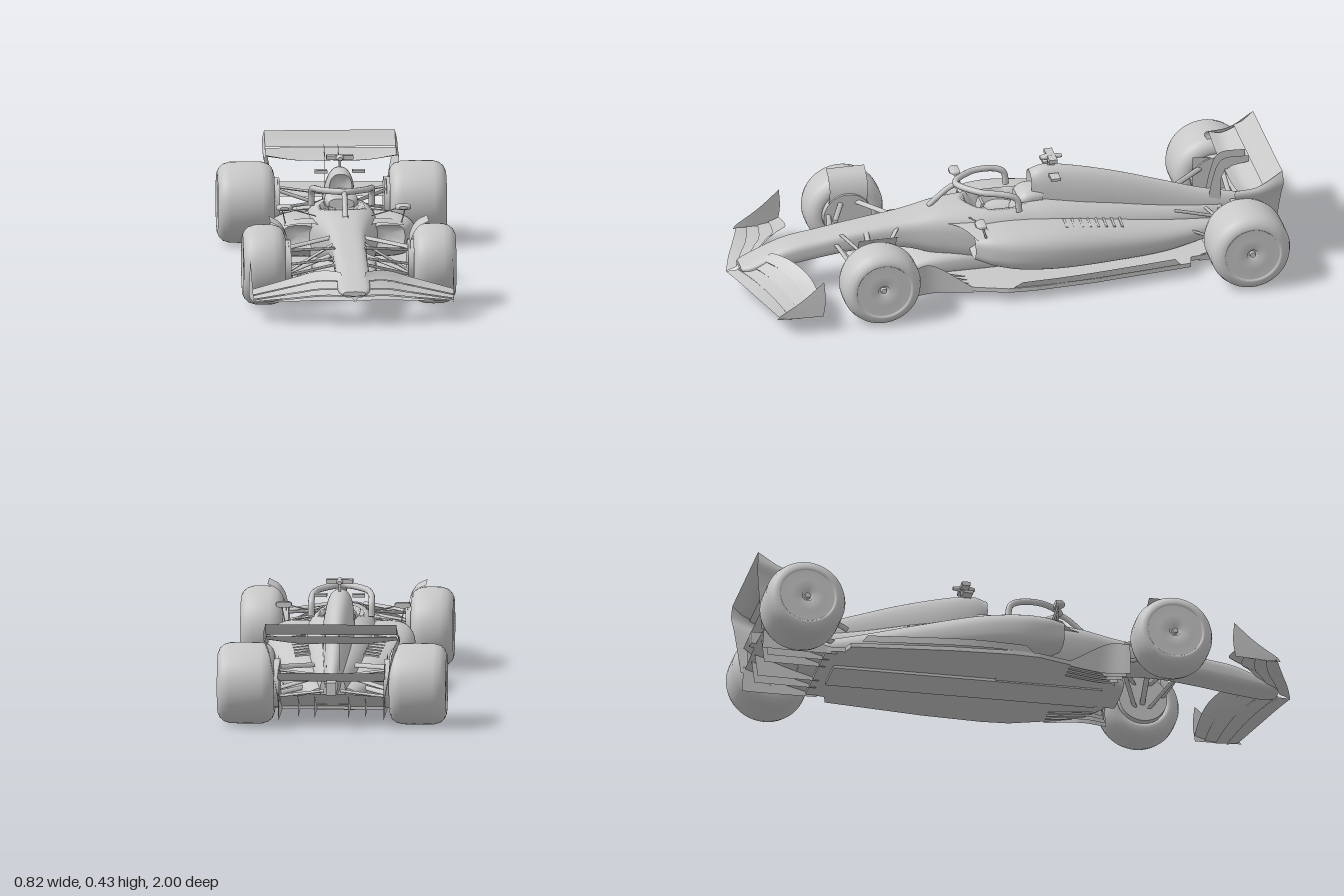
import * as THREE from 'three';

const paint = new THREE.MeshStandardMaterial({ color: 0xc8c8c8, side: THREE.DoubleSide });
paint.name = 'plain grey';
const V = (a) => new THREE.Vector3(...a);
const spline = (pts) => new THREE.CatmullRomCurve3(pts, false, 'catmullrom');

export function createModel() {
  const model = new THREE.Group();
  const car = new THREE.Group();
  car.name = 'racingCar';
  model.add(car);

  function add(name, geo, x = 0, y = 0, z = 0) {
    const m = new THREE.Mesh(geo, paint);
    m.name = name;
    m.position.set(x, y, z);
    car.add(m);
    return m;
  }
  const box = (name, w, h, d, x, y, z) => add(name, new THREE.BoxGeometry(w, h, d), x, y, z);

  function grid(pos, idx) {
    const g = new THREE.BufferGeometry();
    g.setAttribute('position', new THREE.Float32BufferAttribute(pos, 3));
    g.setIndex(idx);
    g.computeVertexNormals();
    return g;
  }

  // Solid hull through rounded sections [z, centreX, halfWidth, bottom, top, squareness], front to back
  function loft(name, sections, { recess = 0, warp = null } = {}) {
    const n = 48, steps = (sections.length - 1) * 8, pos = [], idx = [];
    const A = spline(sections.map((s) => V([s[0], s[1], s[2]])));
    const B = spline(sections.map((s) => V([s[3], s[4], s[5]])));
    const pw = (v, e) => Math.sign(v) * Math.abs(v) ** (2 / e);
    for (let i = 0; i <= steps; i++) {
      const a = A.getPoint(i / steps), b = B.getPoint(i / steps);
      for (let j = 0; j < n; j++) {
        const t = (j / n) * Math.PI * 2;
        const p = V([a.y + a.z * pw(Math.cos(t), b.z), (b.x + b.y) / 2 + ((b.y - b.x) / 2) * pw(Math.sin(t), b.z), a.x]);
        if (warp) warp(p);
        pos.push(p.x, p.y, p.z);
      }
    }
    for (let i = 0; i < steps; i++) for (let j = 0; j < n; j++) {
      const a = i * n + j, b = i * n + (j + 1) % n;
      idx.push(a, a + n, b, b, a + n, b + n);
    }
    for (const [ring, front] of [[0, true], [steps, false]]) {
      const s = sections[front ? 0 : sections.length - 1], base = pos.length / 3;
      pos.push(...pos.slice(ring * n * 3, (ring + 1) * n * 3));
      pos.push(s[1], (s[3] + s[4]) / 2, s[0] - (front ? recess : 0));
      for (let j = 0; j < n; j++) {
        const a = base + j, b = base + (j + 1) % n;
        idx.push(base + n, front ? a : b, front ? b : a);
      }
    }
    return add(name, grid(pos, idx));
  }

  // Thin smooth surface through rows of points; s mirrors it
  function sheet(name, rows, s = 1, nu = 14, nv = 8) {
    const lines = rows.map((r) => spline(r.map(([x, y, z]) => V([x * s, y, z]))).getPoints(nu));
    const pos = [], idx = [];
    for (let u = 0; u <= nu; u++) {
      for (const p of spline(lines.map((l) => l[u])).getPoints(nv)) pos.push(p.x, p.y, p.z);
    }
    for (let u = 0; u < nu; u++) for (let v = 0; v < nv; v++) {
      const a = u * (nv + 1) + v, b = a + nv + 1;
      idx.push(a, b, a + 1, a + 1, b, b + 1);
    }
    return add(name, grid(pos, idx));
  }

  // Flattened rod between two points
  function strut(name, a, b, s, r = 0.007) {
    const p = V(a), q = V(b);
    p.x *= s; q.x *= s;
    const d = q.clone().sub(p);
    const g = new THREE.CylinderGeometry(r, r, d.length(), 10).scale(0.7, 1, 1.4);
    const m = add(name, g, ...p.clone().add(q).multiplyScalar(0.5).toArray());
    m.quaternion.setFromUnitVectors(V([0, 1, 0]), d.normalize());
  }

  // Horizontal plate mirrored about the centre line, outline as [x, z]
  function plate(name, half, y, h) {
    const pts = [...half, ...half.slice().reverse().map(([x, z]) => [-x, z])];
    const shape = new THREE.Shape(pts.map(([x, z]) => new THREE.Vector2(x, -z)));
    add(name, new THREE.ExtrudeGeometry(shape, { depth: h, bevelEnabled: false }).rotateX(-Math.PI / 2), 0, y, 0);
  }

  // Nose, cockpit and lower body in one hull with a sunken cockpit
  loft('chassis', [
    [0.945, 0, 0.04, 0.1, 0.117, 2.6], [0.9, 0, 0.057, 0.094, 0.136, 2.8], [0.78, 0, 0.06, 0.105, 0.187, 3],
    [0.65, 0, 0.06, 0.125, 0.208, 3.2], [0.5, 0, 0.063, 0.14, 0.23, 3.2], [0.35, 0, 0.073, 0.13, 0.25, 3],
    [0.22, 0, 0.1, 0.09, 0.274, 2.8], [0.1, 0, 0.122, 0.06, 0.28, 2.8], [0, 0, 0.13, 0.05, 0.28, 2.8],
    [-0.1, 0, 0.13, 0.05, 0.28, 2.6], [-0.2, 0, 0.13, 0.05, 0.272, 2.4], [-0.4, 0, 0.11, 0.05, 0.24, 2.2],
    [-0.6, 0, 0.08, 0.05, 0.2, 2.2], [-0.82, 0, 0.045, 0.07, 0.17, 2.2],
  ], { warp: (p) => {
    const e = 1 - (p.x / 0.075) ** 2 - ((p.z + 0.005) / 0.125) ** 2;
    if (p.y > 0.2 && e > 0) p.y -= 0.11 * Math.min(1, e * 2.5);
  } });
  loft('engineCover', [
    [-0.12, 0, 0.04, 0.27, 0.366, 2.4], [-0.18, 0, 0.052, 0.15, 0.382, 2.4], [-0.3, 0, 0.058, 0.1, 0.362, 2.1],
    [-0.45, 0, 0.052, 0.08, 0.322, 2], [-0.6, 0, 0.043, 0.07, 0.272, 2], [-0.75, 0, 0.035, 0.08, 0.222, 2],
    [-0.9, 0, 0.022, 0.11, 0.185, 2],
  ], { recess: 0.05 });
  loft('keel', [[0.365, 0, 0.095, 0.026, 0.07, 3], [0.3, 0, 0.108, 0.025, 0.11, 3], [0.15, 0, 0.115, 0.025, 0.13, 3], [-0.1, 0, 0.115, 0.025, 0.12, 3]]);

  // Floor, plank and diffuser
  plate('floor', [[0.1, 0.33], [0.19, 0.27], [0.235, 0.17], [0.265, 0.08], [0.285, 0.02], [0.291, -0.08], [0.28, -0.3], [0.24, -0.66], [0.195, -0.67], [0.185, -0.74], [0.1, -0.74]], 0.035, 0.016);
  box('plank', 0.15, 0.012, 0.98, 0, 0.031, -0.2);
  sheet('diffuser', [
    [[-0.185, 0.04, -0.72], [0, 0.04, -0.72], [0.185, 0.04, -0.72]],
    [[-0.185, 0.075, -0.85], [0, 0.08, -0.85], [0.185, 0.075, -0.85]],
    [[-0.185, 0.115, -0.96], [0, 0.125, -0.96], [0.185, 0.115, -0.96]],
  ]);

  // Cockpit fittings
  box('seat', 0.09, 0.1, 0.025, 0, 0.225, -0.075).rotation.x = -0.4;
  loft('headrest', [[-0.07, 0, 0.045, 0.25, 0.285, 2.5], [-0.1, 0, 0.06, 0.24, 0.305, 2.5], [-0.16, 0, 0.055, 0.24, 0.31, 2.5]]);
  box('steeringWheel', 0.06, 0.035, 0.012, 0, 0.25, 0.06).rotation.x = -0.3;

  // Halo hoop with its centre pillar
  const hoop = [[-0.108, 0.265, -0.06], [-0.108, 0.315, -0.05], [-0.104, 0.336, 0], [-0.08, 0.343, 0.08], [0, 0.347, 0.15]];
  const mirrored = hoop.slice(0, -1).reverse().map(([x, y, z]) => [-x, y, z]);
  add('halo', new THREE.TubeGeometry(spline([...hoop, ...mirrored].map(V)), 60, 0.0115, 10));
  add('haloPillar', new THREE.TubeGeometry(spline([[0, 0.345, 0.148], [0, 0.325, 0.185], [0, 0.268, 0.25]].map(V)), 14, 0.01, 10));

  // Camera above the intake
  box('cameraPylon', 0.008, 0.04, 0.025, 0, 0.392, -0.2);
  box('camera', 0.096, 0.015, 0.03, 0, 0.415, -0.2);
  loft('cameraPod', [[-0.16, 0, 0.008, 0.408, 0.42, 2], [-0.19, 0, 0.014, 0.403, 0.426, 2], [-0.24, 0, 0.008, 0.408, 0.42, 2]]);

  // Rear wing planes
  const span = (y, dip, z) => [[-0.235, y, z], [-0.12, y - dip, z], [0, y - dip, z], [0.12, y - dip, z], [0.235, y, z]];
  sheet('rearWingMain', [span(0.318, 0.018, -0.832), span(0.308, 0.014, -0.88), span(0.328, 0, -0.935)]);
  sheet('rearWingFlap', [span(0.333, 0, -0.925), span(0.348, 0, -0.96), span(0.381, 0, -0.997)]);
  sheet('beamWing', [span(0.16, 0, -0.88), span(0.165, 0, -0.92), span(0.2, 0, -0.965)].map((r) => r.map(([x, y, z]) => [x * 0.82, y, z])));
  box('rearCrashBox', 0.035, 0.045, 0.14, 0, 0.145, -0.91);

  // Tyre and wheel cover turned about the axle; outer face away from the car
  function wheel(name, s, x, z, w, R) {
    const h = w / 2;
    const prof = [[0, -h + 0.02], [0.085, -h + 0.02], [0.09, -h + 0.003], [0.105, -h], [R - 0.022, -h + 0.007], [R - 0.008, -h + 0.022], [R - 0.001, -h + 0.045], [R, 0],
      [R - 0.001, h - 0.045], [R - 0.008, h - 0.022], [R - 0.022, h - 0.007], [0.108, h], [0.1, h - 0.003], [0.098, h - 0.008], [0.06, h - 0.004], [0.02, h - 0.006], [0.018, h - 0.016], [0, h - 0.016]];
    add(name, new THREE.LatheGeometry(prof.map((p) => new THREE.Vector2(...p)), 56).rotateZ(-s * Math.PI / 2), s * x, R, z);
    add(name + 'Nut', new THREE.CylinderGeometry(0.01, 0.012, 0.014, 12).rotateZ(-s * Math.PI / 2), s * (x + h - 0.011), R, z);
  }

  // Front wing leading and trailing edges
  const lead = spline([[0, 0.09, 0.992], [0.1, 0.09, 0.962], [0.22, 0.079, 0.92], [0.36, 0.068, 0.872]].map(V));
  const trail = spline([[0.045, 0.17, 0.835], [0.12, 0.166, 0.775], [0.22, 0.13, 0.722], [0.364, 0.088, 0.715]].map(V));
  const wingRow = (u, lift) => [0, 0.2, 0.4, 0.6, 0.8, 1].map((t) => {
    const p = lead.getPoint(t).lerp(trail.getPoint(t), u);
    return [p.x, p.y + lift - 0.012 * Math.sin(Math.PI * u), p.z];
  });

  for (const s of [1, -1]) {
    const side = s > 0 ? 'left' : 'right';

    wheel(side + 'FrontWheel', s, 0.305, 0.497, 0.152, 0.144);
    wheel(side + 'RearWheel', s, 0.308, -0.85, 0.204, 0.146);

    // Front wing half with four stacked elements and an endplate
    for (let i = 0; i < 4; i++) {
      const a = i / 4, b = a + 0.265;
      sheet(side + 'FrontWingElement', [wingRow(a, 0), wingRow((a + b) / 2, -0.001), wingRow(Math.min(b, 1), i < 3 ? -0.004 : 0)], s);
    }
    sheet(side + 'FrontEndplate', [
      [[0.356, 0.064, 0.885], [0.362, 0.064, 0.8], [0.368, 0.066, 0.718]],
      [[0.357, 0.072, 0.88], [0.361, 0.1, 0.8], [0.366, 0.13, 0.71]],
      [[0.358, 0.08, 0.872], [0.36, 0.135, 0.79], [0.362, 0.2, 0.715]],
    ], s);

    // Sidepod with open inlet, its upper lip, and cooling louvres
    loft(side + 'Sidepod', [
      [0.125, s * 0.16, 0.058, 0.135, 0.222, 3.4], [0.05, s * 0.153, 0.096, 0.105, 0.234, 3], [-0.05, s * 0.143, 0.122, 0.08, 0.235, 2.8],
      [-0.2, s * 0.13, 0.124, 0.06, 0.222, 2.6], [-0.4, s * 0.1, 0.11, 0.045, 0.188, 2.4], [-0.6, s * 0.07, 0.085, 0.04, 0.15, 2.3], [-0.8, s * 0.04, 0.045, 0.06, 0.12, 2.2],
    ], { recess: 0.08 });
    sheet(side + 'InletLip', [
      [[0.07, 0.235, 0.28], [0.1, 0.237, 0.19], [0.15, 0.232, 0.145], [0.215, 0.22, 0.115]],
      [[0.07, 0.24, 0.08], [0.1, 0.24, 0.08], [0.15, 0.238, 0.07], [0.21, 0.227, 0.06]],
    ], s);
    for (let i = 0; i < 8; i++) {
      box(side + 'Louvre', 0.055, 0.007, 0.008, s * (0.15 - i * 0.004), 0.217 - i * 0.005, -0.22 - i * 0.03).rotation.z = -s * 0.12;
    }

    // Floor fences and edge wing
    for (let i = 0; i < 4; i++) {
      const x = 0.215 - i * 0.028, t = [0.14, 0.085, 0.08, 0.075][i];
      sheet(side + 'FloorFence', [
        [[x + 0.015, 0.03, 0.365 - i * 0.01], [x, 0.03, 0.27], [x + 0.03, 0.03, 0.14]],
        [[x + 0.02, t, 0.36 - i * 0.01], [x + 0.005, t, 0.28], [x + 0.03, 0.05, 0.14]],
      ], s);
    }
    sheet(side + 'FloorEdgeWing', [
      [[0.285, 0.052, 0], [0.288, 0.055, -0.25], [0.25, 0.055, -0.62]],
      [[0.293, 0.075, -0.03], [0.291, 0.08, -0.25], [0.252, 0.08, -0.6]],
    ], s);
    sheet(side + 'DiffuserWall', [
      [[0.185, 0.028, -0.7], [0.187, 0.028, -0.85], [0.188, 0.03, -0.972]],
      [[0.185, 0.05, -0.7], [0.187, 0.085, -0.85], [0.188, 0.125, -0.965]],
    ], s);
    for (const x of [0.06, 0.12]) {
      sheet('diffuserStrake', [[[x, 0.032, -0.72], [x, 0.035, -0.94]], [[x, 0.04, -0.72], [x, 0.115, -0.95]]], s);
    }

    // Mirror on two stays
    loft(side + 'Mirror', [[0.125, s * 0.213, 0.014, 0.278, 0.288, 3], [0.11, s * 0.213, 0.028, 0.273, 0.293, 3.5], [0.09, s * 0.213, 0.028, 0.273, 0.293, 3.5]]);
    strut(side + 'MirrorStay', [0.1, 0.255, 0.12], [0.195, 0.28, 0.105], s, 0.003);
    strut(side + 'MirrorStay', [0.205, 0.21, 0.08], [0.22, 0.275, 0.1], s, 0.003);
    box(side + 'IntakeWinglet', 0.045, 0.01, 0.035, s * 0.068, 0.364, -0.2);

    // Front suspension, brake duct and wheel winglet
    for (const [a, b] of [
      [[0.055, 0.215, 0.58], [0.245, 0.195, 0.51]], [[0.06, 0.22, 0.38], [0.245, 0.195, 0.48]],
      [[0.055, 0.155, 0.58], [0.245, 0.1, 0.51]], [[0.06, 0.16, 0.4], [0.245, 0.1, 0.48]],
      [[0.055, 0.215, 0.49], [0.245, 0.1, 0.495]], [[0.055, 0.18, 0.6], [0.245, 0.15, 0.56]],
    ]) strut(side + 'FrontSuspension', a, b, s);
    add(side + 'FrontBrakeDuct', new THREE.CylinderGeometry(0.088, 0.088, 0.045, 32).rotateZ(Math.PI / 2), s * 0.232, 0.144, 0.497);
    sheet(side + 'WheelWinglet', [0.57, 0.5, 0.43].map((z) => [[0.215, 0.17, z], [0.221, 0.24, z - 0.01], [0.245, 0.285, z - 0.01], [0.284, 0.307, z - 0.01]]), s);

    // Rear suspension, brake duct and fins
    for (const [a, b] of [
      [[0.075, 0.18, -0.64], [0.22, 0.2, -0.83]], [[0.03, 0.175, -0.86], [0.22, 0.2, -0.87]],
      [[0.075, 0.11, -0.66], [0.22, 0.1, -0.82]], [[0.03, 0.12, -0.86], [0.22, 0.1, -0.88]],
      [[0.04, 0.16, -0.76], [0.22, 0.12, -0.85]],
    ]) strut(side + 'RearSuspension', a, b, s);
    add(side + 'RearBrakeDuct', new THREE.CylinderGeometry(0.088, 0.088, 0.04, 32).rotateZ(Math.PI / 2), s * 0.207, 0.146, -0.85);
    sheet(side + 'RearDuctFin', [[[0.195, 0.05, -0.77], [0.195, 0.24, -0.77]], [[0.19, 0.04, -0.95], [0.19, 0.22, -0.95]]], s);

    // Rear wing endplate curving inward, and hooked pylon
    sheet(side + 'RearEndplate', [
      [[0.234, 0.318, -0.825], [0.234, 0.328, -0.91], [0.234, 0.381, -0.997]],
      [[0.242, 0.3, -0.82], [0.243, 0.305, -0.91], [0.242, 0.335, -1]],
      [[0.222, 0.25, -0.845], [0.222, 0.25, -0.92], [0.22, 0.28, -0.995]],
      [[0.19, 0.1, -0.88], [0.19, 0.1, -0.93], [0.19, 0.1, -0.975]],
    ], s);
    sheet(side + 'WingPylon', [
      [[0.025, 0.16, -0.77], [0.025, 0.27, -0.79], [0.025, 0.34, -0.825], [0.025, 0.345, -0.92]],
      [[0.025, 0.16, -0.82], [0.025, 0.26, -0.82], [0.025, 0.305, -0.85], [0.025, 0.32, -0.92]],
    ], s);
  }

  // The car stands turned very slightly to its left
  car.rotation.y = 0.0178;
  car.position.x = 0.007;
  return model;
}
